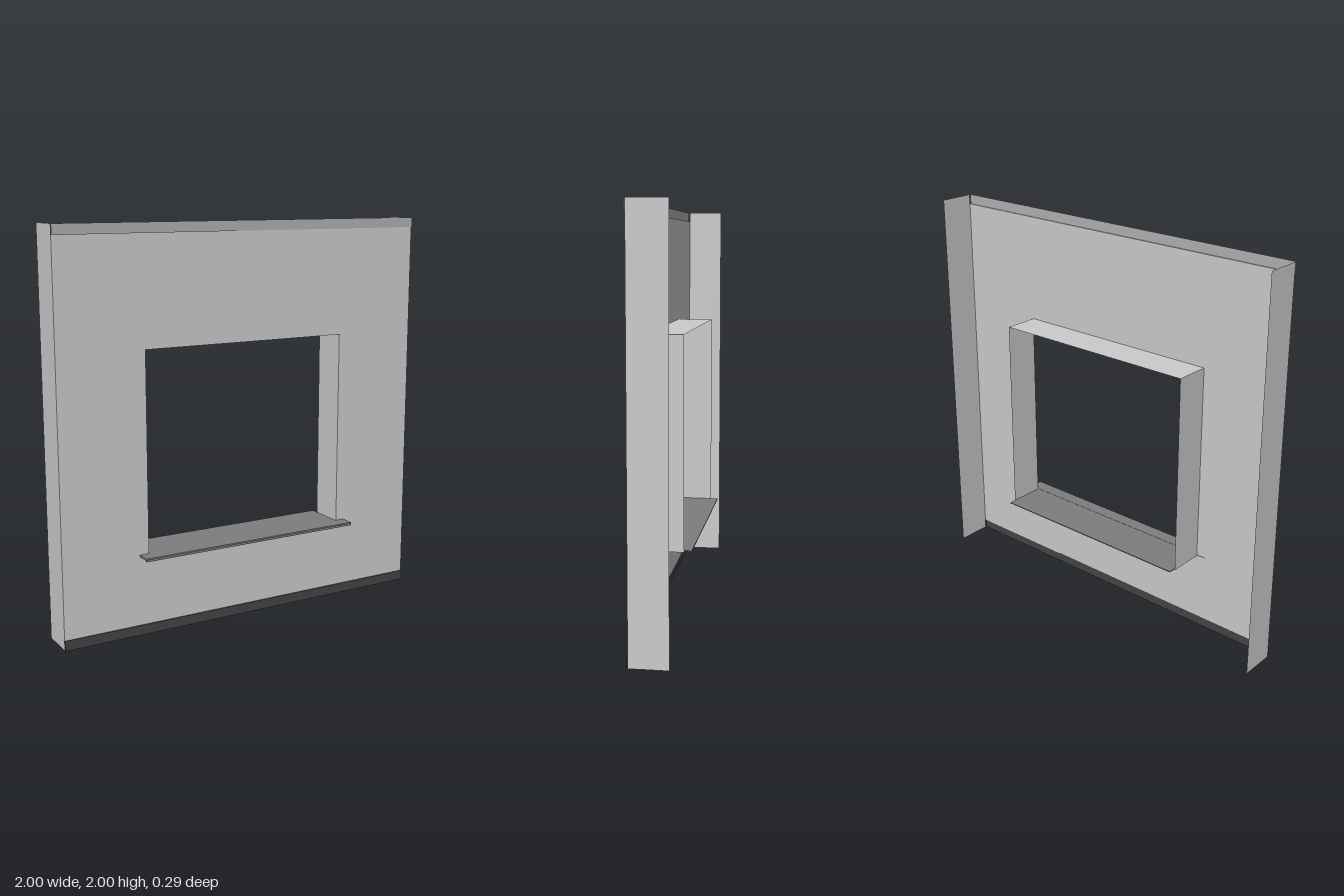
import * as THREE from 'three';

const FRONT = 0.072, BACK = -0.11; // wall sheet and rear edge of the returns
const HALF = 0.552, LOW = 0.4, HIGH = 1.41; // window opening

const material = (color) => new THREE.MeshStandardMaterial({ color, side: THREE.DoubleSide, flatShading: true });
const grey = material(0xcccccc);
const sillGrey = material(0x7d7d7d);
const topGrey = material(0xb0b0b0);
const baseGrey = material(0x444444);

function add(group, name, geometry, mat, x = 0, y = 0, z = 0) {
  const mesh = new THREE.Mesh(geometry, mat);
  mesh.name = name;
  mesh.position.set(x, y, z);
  group.add(mesh);
  return mesh;
}

// Thin sheets facing sideways or upwards
const sideSheet = (depth, height) => new THREE.PlaneGeometry(depth, height).rotateY(Math.PI / 2);
const flatSheet = (width, depth) => new THREE.PlaneGeometry(width, depth).rotateX(-Math.PI / 2);

export function createModel() {
  const model = new THREE.Group();
  model.name = 'wallPanelWithWindowOpening';
  const depth = FRONT - BACK, midZ = (FRONT + BACK) / 2;

  // Wall sheet with the opening cut out
  const wall = new THREE.Shape([[-1, 0.05], [1, 0.05], [1, 1.95], [-1, 1.95]].map((p) => new THREE.Vector2(...p)));
  wall.holes.push(new THREE.Path([[-HALF, LOW], [-HALF, HIGH], [HALF, HIGH], [HALF, LOW]].map((p) => new THREE.Vector2(...p))));
  add(model, 'wallSheet', new THREE.ShapeGeometry(wall), grey, 0, 0, FRONT);

  // Full-height side returns and the jambs of the opening
  for (const [side, label] of [[1, 'left'], [-1, 'right']]) {
    add(model, label + 'SideReturn', sideSheet(depth, 2), grey, side, 1, midZ);
    add(model, label + 'Jamb', sideSheet(depth, HIGH - LOW), grey, side * HALF, (HIGH + LOW) / 2, midZ);
  }
  add(model, 'openingHead', flatSheet(HALF * 2, depth), grey, 0, HIGH, midZ);
  add(model, 'openingBase', flatSheet(HALF * 2, depth), grey, 0, LOW, midZ);

  // Trim strips stand slightly proud of the wall, each joined by a small ledge
  for (const [name, y, ledgeY, mat] of [['topTrim', 1.975, 1.95, topGrey], ['baseTrim', 0.025, 0.05, baseGrey]]) {
    const trim = new THREE.Group();
    trim.name = name;
    add(trim, name + 'Face', new THREE.PlaneGeometry(2, 0.05), mat, 0, y, 0.078);
    add(trim, name + 'Ledge', flatSheet(2, 0.006), mat, 0, ledgeY, 0.075);
    model.add(trim);
  }

  // Window sill: board through the opening, wider nosing with a drip lip
  const sill = new THREE.Group();
  sill.name = 'windowSill';
  add(sill, 'sillBoard', new THREE.BoxGeometry(HALF * 2 - 0.004, 0.005, FRONT + 0.147), sillGrey, 0, 0.4065, (FRONT - 0.147) / 2);
  const profile = new THREE.Shape([
    [0.072, 0.401], [0.137, 0.401], [0.139, 0.395], [0.146, 0.395], [0.146, 0.406], [0.142, 0.41], [0.072, 0.41],
  ].map(([z, y]) => new THREE.Vector2(-z, y)));
  const nosing = new THREE.ExtrudeGeometry(profile, { depth: 1.2, bevelEnabled: false });
  nosing.translate(0, 0, -0.6).rotateY(Math.PI / 2);
  add(sill, 'sillNosing', nosing, sillGrey);
  model.add(sill);

  return model;
}
